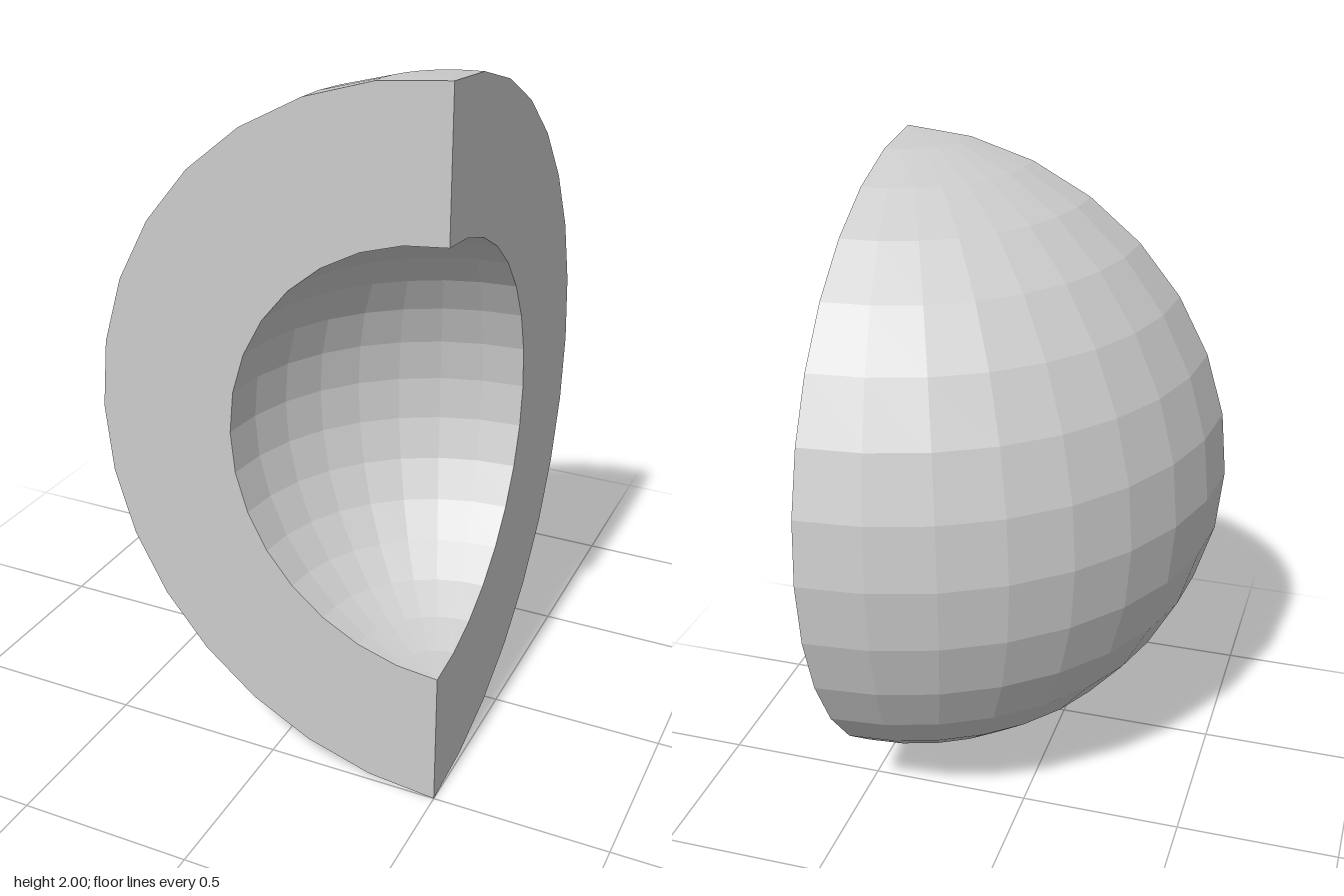
import * as THREE from 'three';

const OUTER = 1, INNER = 0.606, SEGMENTS = 16;

// Half-circle profile from the bottom pole to the top pole
function arc(radius) {
  const points = [];
  for (let i = 0; i <= SEGMENTS; i++) {
    const a = (i / SEGMENTS) * Math.PI;
    points.push(new THREE.Vector2(radius * Math.sin(a), -radius * Math.cos(a)));
  }
  return points;
}

export function createModel() {
  const group = new THREE.Group();
  group.name = 'quarterSphereShell';
  const material = new THREE.MeshStandardMaterial({ color: 0xcccccc, flatShading: true });

  // All parts share the sphere centre, on the edge where the two cuts meet
  const add = (name, geometry) => {
    const mesh = new THREE.Mesh(geometry, material);
    mesh.name = name;
    mesh.position.set(0.5, 1, 0.5);
    group.add(mesh);
  };

  // Curved skins: a quarter turn towards -x and -z; the reversed profile faces inward
  const quarter = (points) => new THREE.LatheGeometry(points, SEGMENTS / 2, Math.PI, Math.PI / 2);
  add('outerSurface', quarter(arc(OUTER)));
  add('innerSurface', quarter(arc(INNER).reverse()));

  // Flat half-ring cut faces closing the wall
  const ring = [...arc(OUTER), ...arc(INNER).reverse()];
  const mirrored = ring.map((p) => new THREE.Vector2(-p.x, p.y));
  add('frontCutFace', new THREE.ShapeGeometry(new THREE.Shape(mirrored)));
  add('leftCutFace', new THREE.ShapeGeometry(new THREE.Shape(ring)).rotateY(Math.PI / 2));

  return group;
}
